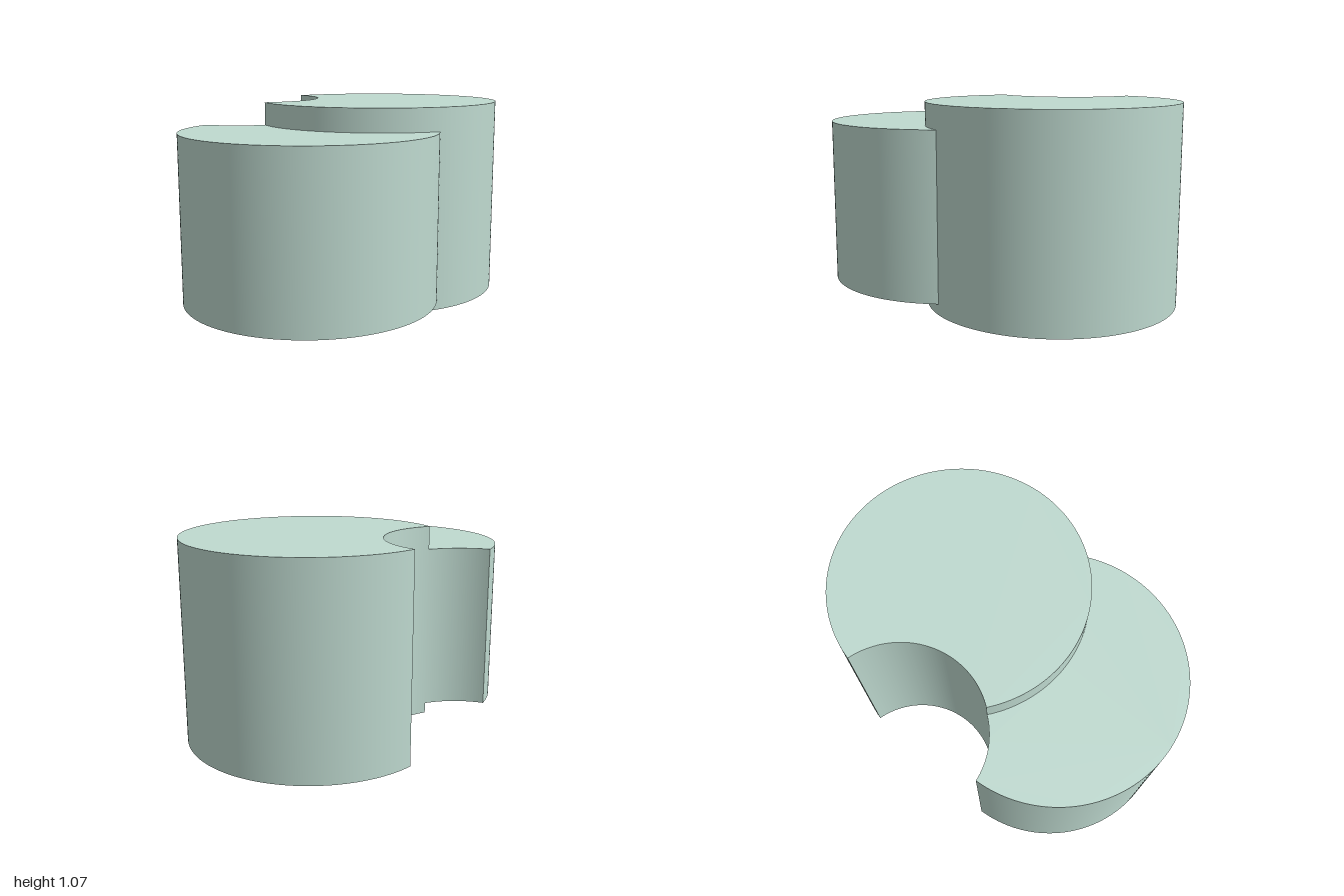
import * as THREE from 'three';
import { toCreasedNormals } from 'three/addons/utils/BufferGeometryUtils.js';

// Plan circles, drawn in the (x, -z) plane
const back = { x: 0, y: 0.328, r: 0.672 };
const front = { x: 0, y: -0.328, r: 0.672 };
const notch = { x: -0.751, y: 0.028, r: 0.436 };

// One of the two crossing points of a pair of circles
function cross(a, b, side) {
  const dx = b.x - a.x, dy = b.y - a.y, d = Math.hypot(dx, dy);
  const along = (d * d + a.r * a.r - b.r * b.r) / (2 * d);
  const off = side * Math.sqrt(a.r * a.r - along * along);
  return { x: a.x + (dx * along - dy * off) / d, y: a.y + (dy * along + dx * off) / d };
}

function addArc(shape, c, from, to, clockwise) {
  const angle = (p) => Math.atan2(p.y - c.y, p.x - c.x);
  shape.absarc(c.x, c.y, c.r, angle(from), angle(to), clockwise);
}

// Upright prism between two heights, smooth walls with sharp rims
function prism(name, shape, bottom, top, material) {
  const geo = new THREE.ExtrudeGeometry(shape, { depth: top - bottom, bevelEnabled: false, curveSegments: 72 });
  geo.rotateX(-Math.PI / 2);
  geo.translate(0, bottom, 0);
  const mesh = new THREE.Mesh(toCreasedNormals(geo, 0.4), material);
  mesh.name = name;
  return mesh;
}

export function createModel() {
  const group = new THREE.Group();
  group.name = 'notchedDoubleCylinder';
  const material = new THREE.MeshStandardMaterial({ color: 0xbfdad0 });

  const notchBack = cross(back, notch, -1);
  const notchSeam = cross(back, notch, 1);
  const notchFront = cross(front, notch, 1);
  const rightSeam = cross(back, front, 1);

  // Tall cylinder with a round bite out of its side
  const tall = new THREE.Shape();
  addArc(tall, back, notchBack, notchSeam, true);
  addArc(tall, notch, notchSeam, notchBack, false);
  group.add(prism('tallCylinder', tall, 0, 1.07, material));

  // Shorter crescent hugging the tall cylinder, bitten by the same notch
  const crescent = new THREE.Shape();
  addArc(crescent, front, notchFront, rightSeam, false);
  addArc(crescent, back, rightSeam, notchSeam, true);
  addArc(crescent, notch, notchSeam, notchFront, true);
  group.add(prism('shortCrescent', crescent, 0.057, 0.945, material));

  return group;
}
